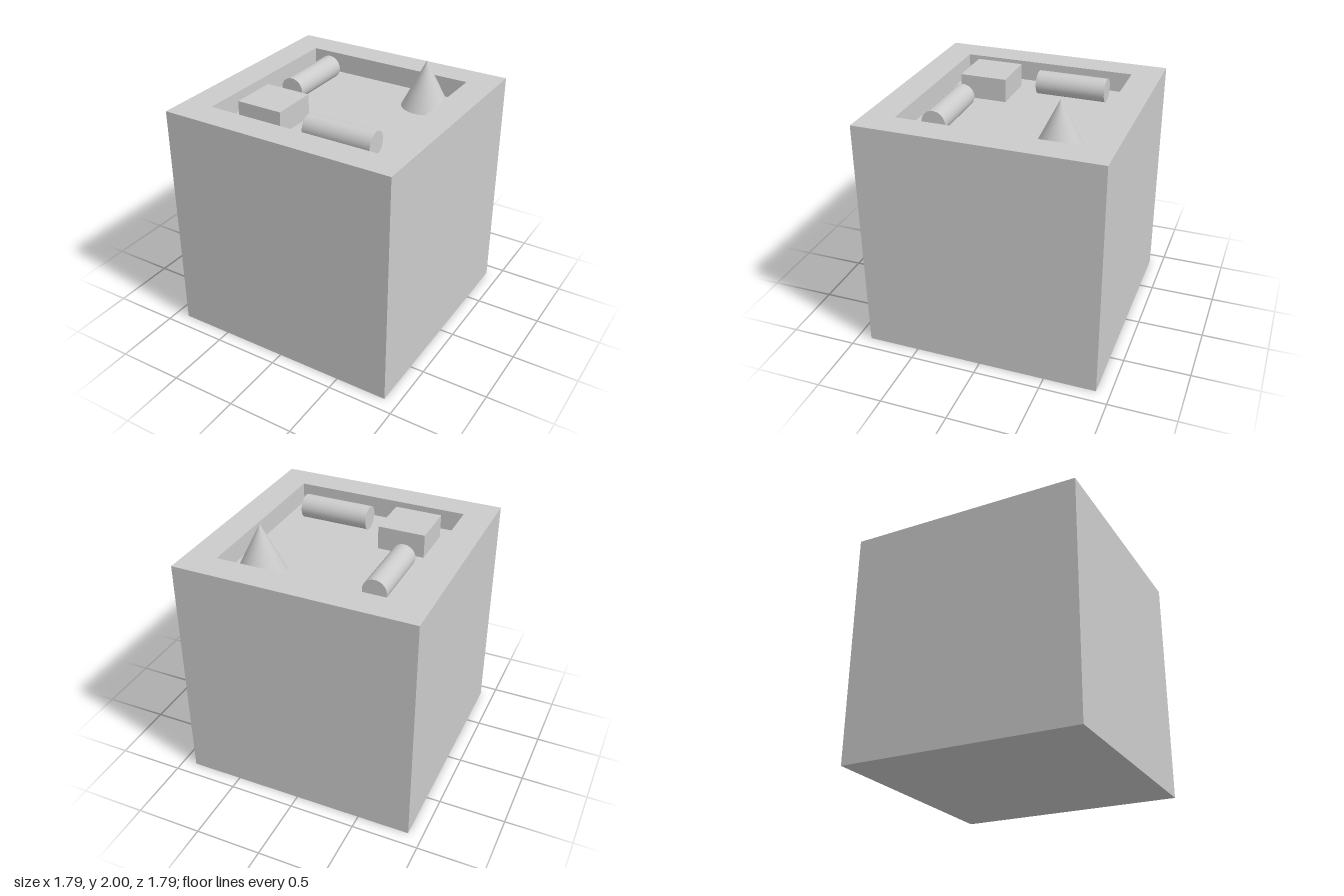
import * as THREE from 'three';

const U = 0.0895;          // base unit: the block is 20 units wide
const HALF = 10 * U;       // half width of the block
const TOP = 1.795;         // height of the rim
const FLOOR = 1.64;        // height of the recess floor

export function createModel() {
  const group = new THREE.Group();
  const material = new THREE.MeshStandardMaterial({ color: 0xcccccc });

  const add = (name, geometry, x, y, z) => {
    const mesh = new THREE.Mesh(geometry, material);
    mesh.name = name;
    mesh.position.set(x, y, z);
    group.add(mesh);
    return mesh;
  };

  const square = (Type, h) => new Type([[-h, -h], [h, -h], [h, h], [-h, h]].map(p => new THREE.Vector2(...p)));

  // Block: closed outer shell with a square recess in the top
  const block = new THREE.Group();
  block.name = 'block';
  group.add(block);
  const panel = (name, geometry, position, rotation) => {
    const mesh = new THREE.Mesh(geometry, material);
    mesh.name = name;
    mesh.position.set(...position);
    mesh.rotation.set(...rotation);
    block.add(mesh);
  };
  const rim = square(THREE.Shape, HALF);
  rim.holes.push(square(THREE.Path, 7.5 * U));
  const up = [-Math.PI / 2, 0, 0];
  panel('rim', new THREE.ShapeGeometry(rim), [0, TOP, 0], up);
  panel('recessFloor', new THREE.PlaneGeometry(15 * U, 15 * U), [0, FLOOR, 0], up);
  panel('base', new THREE.PlaneGeometry(2 * HALF, 2 * HALF), [0, 0, 0], [Math.PI / 2, 0, 0]);
  for (let i = 0; i < 4; i++) {
    const a = i * Math.PI / 2, s = Math.sin(a), c = Math.cos(a);
    panel('outerWall', new THREE.PlaneGeometry(2 * HALF, TOP),
      [HALF * s, TOP / 2, HALF * c], [0, a, 0]);
    // Recess walls face inwards
    panel('recessWall', new THREE.PlaneGeometry(15 * U, TOP - FLOOR),
      [7.5 * U * s, (TOP + FLOOR) / 2, 7.5 * U * c], [0, a + Math.PI, 0]);
  }

  // Solids standing and lying on the recess floor
  add('cone', new THREE.ConeGeometry(2 * U, 2 - FLOOR, 48), 5 * U, (2 + FLOOR) / 2, -5 * U);
  add('box', new THREE.BoxGeometry(4 * U, 2 * U, 4 * U), -4 * U, FLOOR + U, 4 * U);
  const rod = new THREE.CylinderGeometry(U, U, 6 * U, 40);
  add('frontCylinder', rod, 3 * U, FLOOR + U, 5 * U).rotation.z = Math.PI / 2;
  add('sideCylinder', rod, -5 * U, FLOOR + U, -3 * U).rotation.x = Math.PI / 2;

  return group;
}
